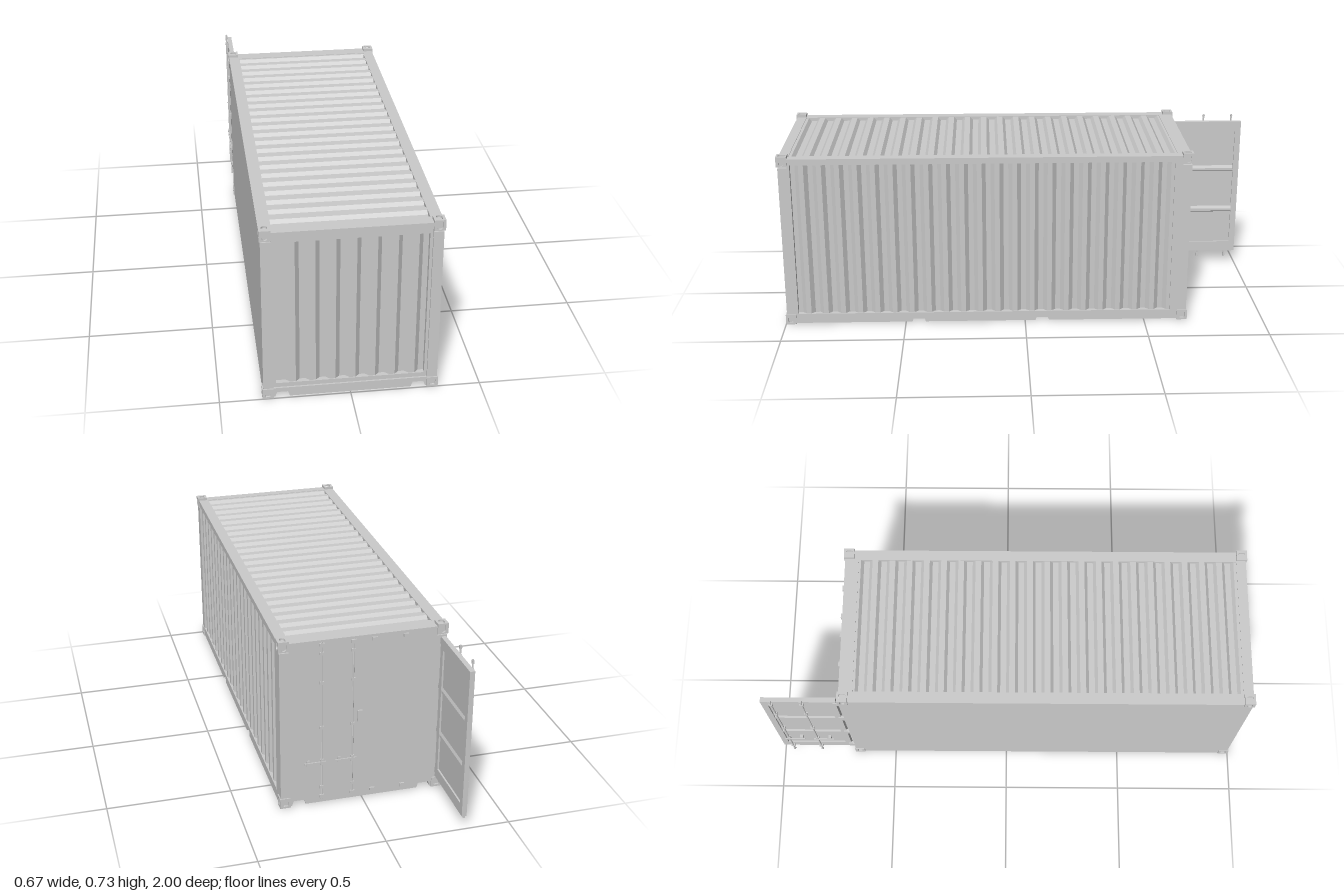
import * as THREE from 'three';

const mat = new THREE.MeshStandardMaterial({ color: 0xcccccc, flatShading: true });

function add(parent, name, geo, x = 0, y = 0, z = 0, ry = 0) {
  const m = new THREE.Mesh(geo, mat);
  m.name = name;
  m.position.set(x, y, z);
  m.rotation.y = ry;
  parent.add(m);
  return m;
}

const box = (w, h, d) => new THREE.BoxGeometry(w, h, d);

function rectPath(x0, x1, y0, y1) {
  return new THREE.Path([[x0, y0], [x1, y0], [x1, y1], [x0, y1]].map(p => new THREE.Vector2(...p)));
}

// Flat plate in XY facing +z (outer face at z = 0): corner cut-outs, fork notches below, optional opening
function plate([u0, u1, v0, v1], hole, t, { cut = 0, notches = [] } = {}) {
  const s = new THREE.Shape();
  s.moveTo(u0 + cut, v0);
  for (const n of [...notches].sort((a, b) => a - b)) {
    s.lineTo(n - 0.028, v0); s.lineTo(n - 0.021, v0 + 0.021);
    s.lineTo(n + 0.021, v0 + 0.021); s.lineTo(n + 0.028, v0);
  }
  s.lineTo(u1 - cut, v0);
  if (cut) { s.lineTo(u1 - cut, v0 + cut); s.lineTo(u1, v0 + cut); s.lineTo(u1, v1 - cut); s.lineTo(u1 - cut, v1 - cut); }
  s.lineTo(u1 - cut, v1);
  s.lineTo(u0 + cut, v1);
  if (cut) { s.lineTo(u0 + cut, v1 - cut); s.lineTo(u0, v1 - cut); s.lineTo(u0, v0 + cut); s.lineTo(u0 + cut, v0 + cut); }
  if (hole) s.holes.push(rectPath(...hole));
  return new THREE.ExtrudeGeometry(s, { depth: t, bevelEnabled: false }).translate(0, 0, -t);
}

// Trapezoid corrugation from u0 to u1 along x, height v0..v1, crests at z = 0; first = start of a falling slope
function corrugated(u0, u1, v0, v1, period, first, depth, slope = 0.016) {
  const marks = [[0, 0], [slope, 1], [period / 2, 1], [period / 2 + slope, 0]];
  const pts = [];
  for (let k = -1; k < 40; k++) {
    for (const [du, d] of marks) {
      const u = first + k * period + du;
      if (u > u0 && u < u1) pts.push([u, d * depth]);
    }
  }
  const back = depth + 0.012;
  const all = [[u0, back], [u0, pts[0][1]], ...pts, [u1, pts[pts.length - 1][1]], [u1, back]];
  const s = new THREE.Shape(all.map(p => new THREE.Vector2(...p)));
  return new THREE.ExtrudeGeometry(s, { depth: v1 - v0, bevelEnabled: false }).rotateX(-Math.PI / 2).translate(0, v0, 0);
}

// Corner casting with an oval hole in each of its three outer faces
function cornerCasting(sx, sy, sz) {
  const g = new THREE.Group();
  g.name = 'cornerCasting';
  const S = 0.043, T = 0.008, h = S / 2;
  add(g, 'castingCore', box(S - T, S - T, S - T), -sx * T / 2, -sy * T / 2, -sz * T / 2);
  const s = new THREE.Shape(rectPath(-h, h, -h, h).getPoints());
  const oval = new THREE.Path();
  oval.moveTo(0.011, -0.006);
  oval.lineTo(0.011, 0.006);
  oval.absarc(0, 0.006, 0.011, 0, Math.PI, false);
  oval.lineTo(-0.011, -0.006);
  oval.absarc(0, -0.006, 0.011, Math.PI, Math.PI * 2, false);
  s.holes.push(oval);
  const face = new THREE.ExtrudeGeometry(s, { depth: T, bevelEnabled: false, curveSegments: 8 }).translate(0, 0, h - T);
  add(g, 'castingEndFace', face, 0, 0, 0, sz > 0 ? 0 : Math.PI);
  add(g, 'castingSideFace', face, 0, 0, 0, sx * Math.PI / 2);
  add(g, 'castingFlatFace', face).rotation.x = -sy * Math.PI / 2;
  return g;
}

// Door with hinge edge at x = 0, reaching along dir, outer side facing -z
function door(name, dir) {
  const g = new THREE.Group();
  g.name = name;
  const W = 0.305, Y0 = 0.057, Y1 = 0.682, T = 0.02, mid = dir * W / 2;
  add(g, 'doorFrame', plate([-W / 2, W / 2, Y0, Y1], [-0.127, 0.127, 0.103, 0.635], T), mid);
  add(g, 'doorPanel', box(0.256, 0.534, 0.006), mid, 0.369, -T / 2);
  // pressed ribs, sloping above and steep below, on both sides
  for (const y of [0.247, 0.443]) {
    const rib = new THREE.Shape([[-0.017, 0.002], [-0.017, 0.03], [-0.01, 0.036], [-0.01, 0.002]].map(() => new THREE.Vector2()));
    rib.curves = [];
    rib.setFromPoints([[-0.01, 0], [-0.002, 0.007], [-0.002, 0.018], [-0.01, 0.038], [-0.018, 0.018], [-0.018, 0.007]]
      .map(p => new THREE.Vector2(-p[0], p[1])));
    const geo = new THREE.ExtrudeGeometry(rib, { depth: 0.254, bevelEnabled: false }).rotateY(-Math.PI / 2).translate(0.127, 0, -T);
    add(g, 'doorRib', geo, mid, y, 0);
  }
  // locking bars with guides and handles
  for (const d of [0.138, 0.263]) {
    const x = dir * d, z = -T - 0.006;
    add(g, 'lockingBar', new THREE.CylinderGeometry(0.0035, 0.0035, 0.69, 8), x, 0.365, z);
    for (const y of [0.03, 0.7]) add(g, 'barCam', box(0.009, 0.014, 0.009), x, y, z);
    for (const y of [0.075, 0.345, 0.54, 0.665]) add(g, 'barGuide', box(0.016, 0.012, 0.011), x, y, -T - 0.005);
    add(g, 'handleHub', box(0.013, 0.026, 0.011), x, 0.19, z);
    add(g, 'handleLever', box(0.088, 0.007, 0.005), x - dir * 0.028, 0.19, z - 0.005);
    add(g, 'handleCatch', box(0.012, 0.024, 0.014), x - dir * 0.055, 0.19, -T - 0.002);
  }
  for (const y of [0.08, 0.27, 0.465, 0.66]) add(g, 'hinge', box(0.03, 0.03, 0.012), -dir * 0.004, y, -T + 0.002);
  return g;
}

export function createModel() {
  const root = new THREE.Group();
  root.name = 'shippingContainer';
  const Q = Math.PI / 2, X = 0.333, ZF = 0.995, ZB = -0.677, B = 0.004, T = 0.72, cut = 0.038;

  // solid body behind the panels, and the floor
  add(root, 'bodyCore', box(0.606, 0.66, 1.612), 0, 0.36, 0.159);
  add(root, 'floor', box(0.606, 0.03, 1.612), 0, B + 0.015, 0.159);

  // front end
  add(root, 'frontFrame', plate([-X, X, B, T], [-0.294, 0.294, 0.043, 0.707], 0.03, { cut, notches: [-0.26, 0.26] }), 0, 0, ZF);
  add(root, 'frontInnerFrame', plate([-0.295, 0.295, 0.042, 0.708], [-0.283, 0.283, 0.061, 0.674], 0.02), 0, 0, 0.988);
  add(root, 'frontPanel', corrugated(-0.283, 0.283, 0.06, 0.675, 0.0757, -0.208, 0.015), 0, 0, 0.984);

  // corrugated side
  add(root, 'sideFrame', plate([-ZF, -ZB, B, T], [-0.947, 0.607, 0.045, 0.703], 0.03, { cut, notches: [-0.445, 0.072] }), X, 0, 0, Q);
  add(root, 'sidePanel', corrugated(-0.948, 0.608, 0.044, 0.704, 0.0717, -0.893, 0.015), 0.328, 0, 0, Q);

  // flat side
  add(root, 'flatSideWall', plate([ZB, ZF, B, T], null, 0.03, { cut }), -X, 0, 0, -Q);
  add(root, 'flatSideTopRail', box(0.006, 0.016, 1.59), -X, 0.712, 0.159);

  // roof
  const roofFrame = plate([-X, X, -ZF, -ZB], [-0.289, 0.289, -0.955, 0.62], 0.025, { cut }).rotateX(-Q);
  add(root, 'roofFrame', roofFrame, 0, T, 0);
  const roof = corrugated(-0.956, 0.621, -0.29, 0.29, 0.0717, -0.943, 0.013, 0.012).rotateX(-Q).rotateY(Q);
  add(root, 'roofPanel', roof, 0, 0.718, 0);

  // rear frame, with a keeper for each locking bar
  add(root, 'rearFrame', plate([-X, X, B, T], [-0.306, 0.306, 0.056, 0.684], 0.03, { cut, notches: [-0.26, 0.26] }), 0, 0, ZB, Math.PI);
  for (const x of [-0.167, -0.042, 0.042, 0.167]) {
    for (const y of [0.032, 0.702]) add(root, 'barKeeper', box(0.02, 0.014, 0.008), x, y, ZB - 0.003);
  }
  for (const y of [0.08, 0.27, 0.465, 0.66]) add(root, 'hingeLug', box(0.022, 0.026, 0.012), -0.318, y, ZB - 0.004);

  // one door closed, one swung wide open
  const closed = door('closedDoor', -1);
  closed.position.set(0.305, 0, -0.653);
  add(closed, 'lockBox', box(0.02, 0.05, 0.014), -0.292, 0.375, -0.024);
  const open = door('openDoor', 1);
  open.position.set(-0.304, 0, -0.692);
  open.rotation.y = Q;
  root.add(closed, open);

  // corner castings
  for (const sx of [-1, 1]) for (const sy of [-1, 1]) for (const sz of [-1, 1]) {
    const c = cornerCasting(sx, sy, sz);
    c.position.set(sx * 0.3155, sy > 0 ? 0.7095 : 0.0215, sz > 0 ? 0.9785 : -0.6605);
    root.add(c);
  }
  return root;
}
